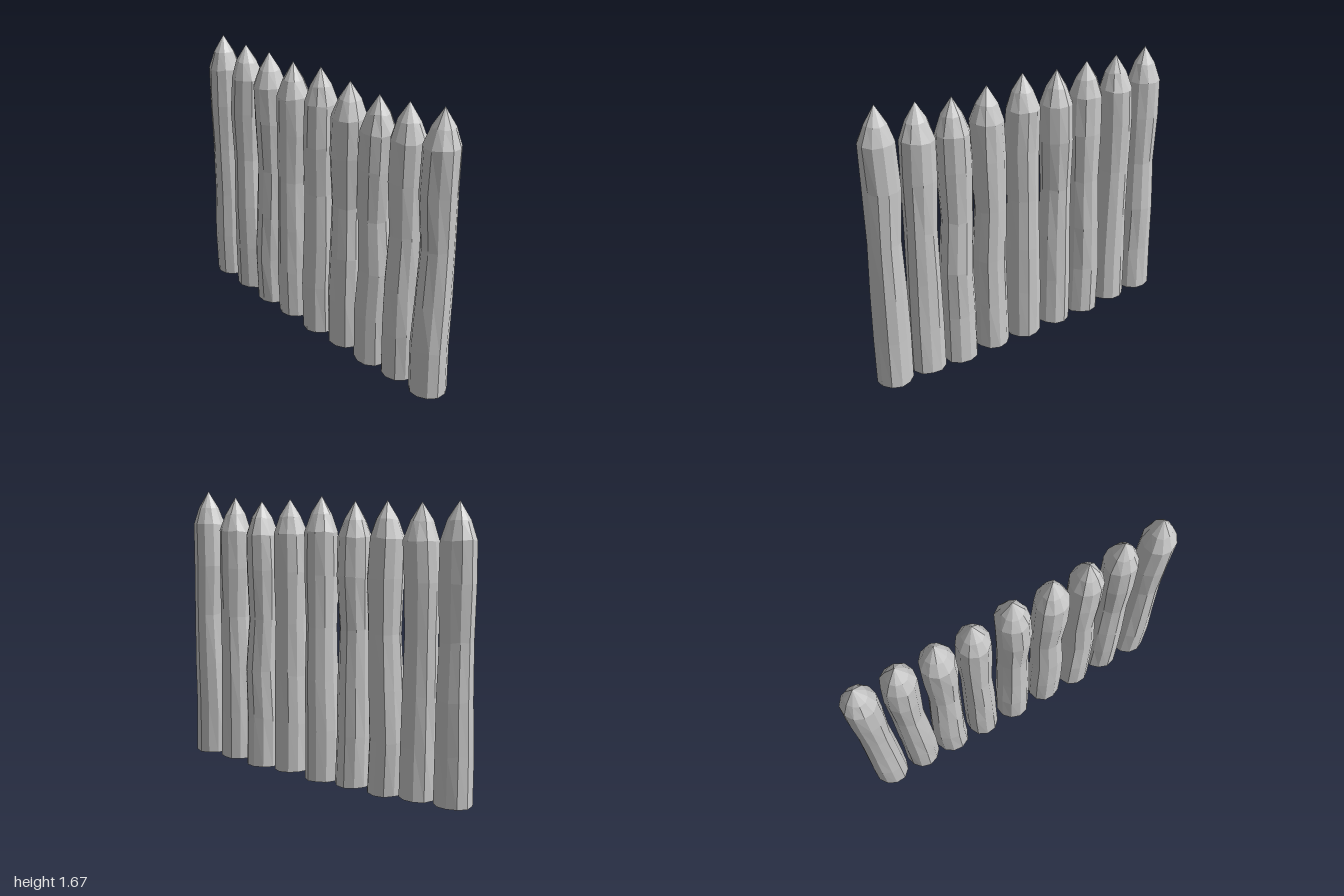
import * as THREE from 'three';

const SIDES = 11;
// Heights and radii shared by all stakes, from foot to shoulder
const LEVELS = [0, 0.31, 0.6, 0.91, 1.21, 1.43];
const RADII = [0.105, 0.104, 0.099, 0.092, 0.101, 0.097];

// Each stake: centre z, foot height, tip height, z bend at each level (in hundredths)
const STAKES = [
  [0.89, 0.02, 1.67, [0, 0, 0.5, 1, 0, 1]],
  [0.67, 0.02, 1.635, [0, 0, 0, 0.5, 0, 0]],
  [0.455, 0.005, 1.615, [0, 0, 1, -1, -0.5, 0]],
  [0.23, 0.015, 1.63, [0, 0, 0.5, -0.5, 0, 0.5]],
  [0, 0, 1.65, [-0.5, -0.5, 0, 0, 0.5, 0]],
  [-0.235, 0.01, 1.625, [0.5, 0, 0, -0.5, 0, 0]],
  [-0.455, 0.005, 1.63, [0, -1, 0, 1, 1, 0.5]],
  [-0.675, 0.02, 1.625, [0.5, 0.5, 0, -0.5, -0.5, 0.5]],
  [-0.895, 0.025, 1.635, [0, 0, 0, 0, 0, 0]],
];

// Small seeded random, returns -1..1
function makeRandom(seed) {
  let s = seed;
  return () => {
    s = (s * 16807) % 2147483647;
    return (s / 2147483647) * 2 - 1;
  };
}

// Hand-hewn log with a flat foot and a sharpened, slightly convex tip
function stakeGeometry(foot, tip, bend, seed) {
  const random = makeRandom(seed);
  const shoulder = tip - 0.2;
  const profile = [new THREE.Vector2(0, foot)];
  LEVELS.forEach((y, j) => {
    const h = j === 0 ? foot : j === LEVELS.length - 1 ? shoulder : y;
    profile.push(new THREE.Vector2(RADII[j], h));
  });
  profile.push(new THREE.Vector2(0.061, tip - 0.1), new THREE.Vector2(0, tip));

  const geometry = new THREE.LatheGeometry(profile, SIDES, random() * Math.PI);
  const pos = geometry.attributes.position;
  const rows = profile.length;
  const sideScale = Array.from({ length: SIDES }, () => 1 + random() * 0.025);
  const jitter = Array.from({ length: SIDES * rows }, () => [random(), random()]);
  const sway = profile.map((_, j) => (j > 1 && j < 7 ? random() * 0.006 : 0));

  for (let i = 0; i <= SIDES; i++) {
    const side = i % SIDES; // seam vertices share their jitter
    for (let j = 0; j < rows; j++) {
      const k = i * rows + j;
      const [a, b] = jitter[side * rows + j];
      const pole = j === 0 || j === rows - 1;
      const scale = pole ? 1 : sideScale[side] * (1 + a * 0.025);
      const lift = pole ? 0 : j === 1 ? (b + 1) * 0.003 : b * 0.006;
      const bendZ = (bend[Math.min(Math.max(j - 1, 0), bend.length - 1)] || 0) * 0.01;
      pos.setXYZ(k,
        pos.getX(k) * scale - 0.004 + sway[j],
        pos.getY(k) + lift,
        pos.getZ(k) * scale + bendZ);
    }
  }
  geometry.computeVertexNormals();
  return geometry;
}

export function createModel() {
  const group = new THREE.Group();
  group.name = 'palisade';
  const material = new THREE.MeshStandardMaterial({ color: 0xcccccc, flatShading: true });

  STAKES.forEach(([z, foot, tip, bend], i) => {
    const stake = new THREE.Mesh(stakeGeometry(foot, tip, bend, 7919 * (i + 3)), material);
    stake.name = `stake${i + 1}`;
    stake.position.z = z;
    group.add(stake);
  });
  return group;
}
